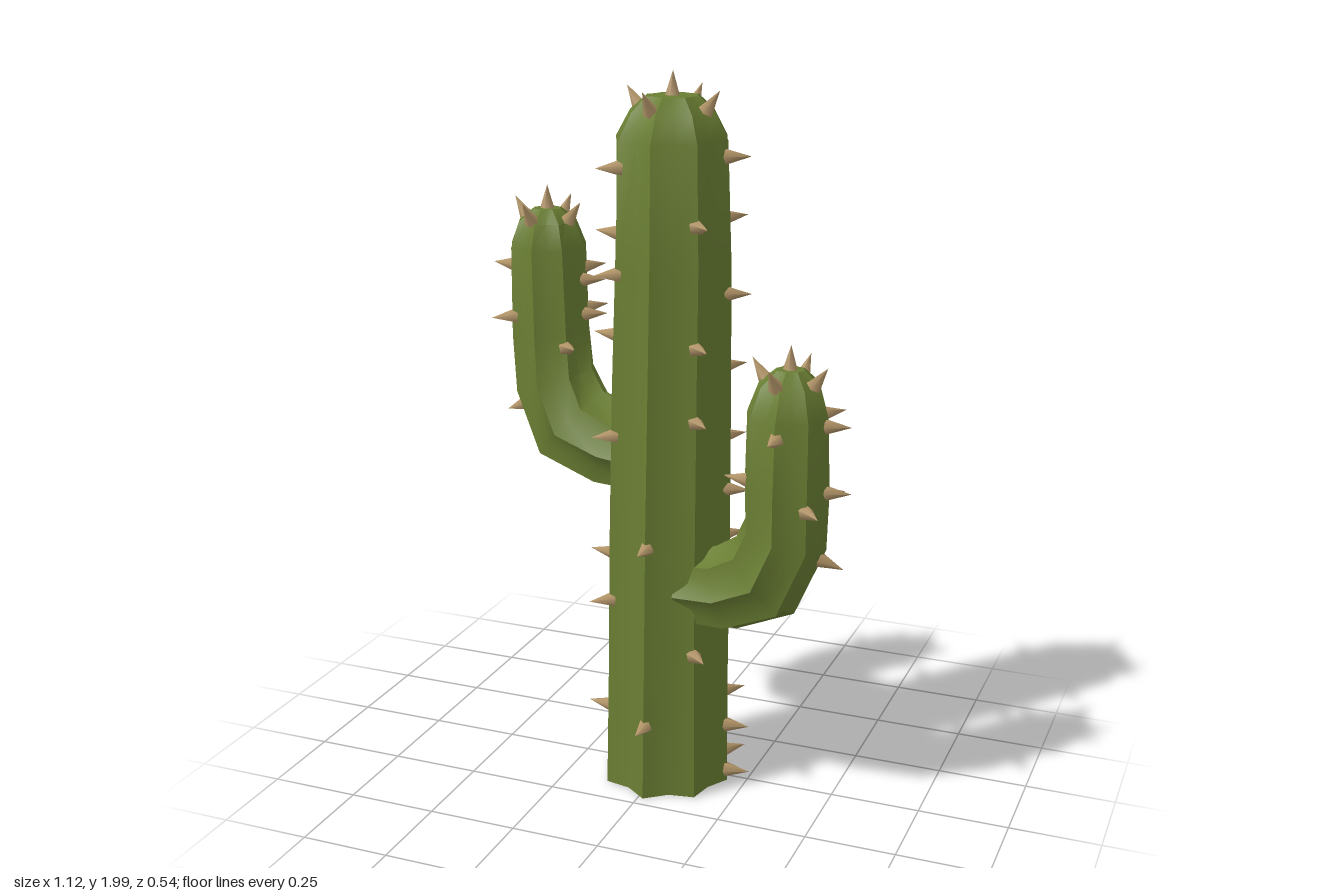
import * as THREE from 'three';
import { toCreasedNormals } from 'three/addons/utils/BufferGeometryUtils.js';

const RIBS = 8;
const VALLEY = 0.85; // groove radius relative to the ridge radius

// Small seeded random for the slightly uneven ribs
function seeded(seed) {
  return () => (seed = (seed * 16807) % 2147483647) / 2147483647;
}

// A ring is [x, y, z, radius, tilt in degrees]; returns a point on it
function ringPoint([x, y, z, r, tilt], angle, scale = 1) {
  const a = THREE.MathUtils.degToRad(tilt);
  const c = Math.cos(angle) * r * scale;
  return new THREE.Vector3(x + c * Math.cos(a), y - c * Math.sin(a), z + Math.sin(angle) * r * scale);
}

// Ribbed column lofted through rings, closed at both ends
function ribbedStem(rings, seed) {
  const rand = seeded(seed);
  const n = RIBS * 2;
  const pos = [];
  const index = [];
  for (const ring of rings) {
    for (let j = 0; j < n; j++) {
      const scale = (j % 2 ? VALLEY : 1) * (0.97 + 0.05 * rand());
      pos.push(...ringPoint(ring, (j / n) * Math.PI * 2, scale).toArray());
    }
  }
  const last = rings.length - 1;
  pos.push(...rings[0].slice(0, 3), ...rings[last].slice(0, 3));
  const bottom = n * rings.length;
  const top = bottom + 1;
  for (let j = 0; j < n; j++) {
    const k = (j + 1) % n;
    for (let i = 0; i < last; i++) {
      const a = i * n + j, b = i * n + k;
      index.push(a, a + n, b, b, a + n, b + n);
    }
    index.push(bottom, j, k, last * n + j, top, last * n + k);
  }
  const geo = new THREE.BufferGeometry();
  geo.setAttribute('position', new THREE.Float32BufferAttribute(pos, 3));
  geo.setIndex(index);
  return toCreasedNormals(geo, 0.6);
}

// Ring interpolated at a given height of the stem's centre line
function ringAt(rings, y) {
  let i = 0;
  while (i < rings.length - 2 && rings[i + 1][1] < y) i++;
  const t = THREE.MathUtils.clamp((y - rings[i][1]) / (rings[i + 1][1] - rings[i][1]), 0, 1);
  return rings[i].map((v, k) => THREE.MathUtils.lerp(v, rings[i + 1][k], t));
}

const trunkRings = [
  [0.015, 0.005, 0.028, 0.188, 0], [0.015, 0.35, 0.025, 0.182, 0],
  [0.015, 0.75, 0.015, 0.176, 0], [0.015, 1.15, 0.005, 0.170, 0],
  [0.015, 1.5, -0.005, 0.165, 0], [0.014, 1.82, -0.01, 0.158, 0],
  [0.013, 1.89, -0.012, 0.12, 0], [0.012, 1.93, -0.015, 0.075, 0],
];
const leftArmRings = [
  [0.08, 0.60, 0.05, 0.115, 80], [0.20, 0.61, 0.06, 0.122, 75],
  [0.32, 0.67, 0.08, 0.132, 50], [0.375, 0.80, 0.085, 0.12, 15],
  [0.375, 0.93, 0.085, 0.118, 0], [0.375, 1.13, 0.08, 0.112, 0],
  [0.375, 1.21, 0.075, 0.085, 0], [0.375, 1.25, 0.07, 0.04, 0],
];
const rightArmRings = [
  [-0.06, 0.93, -0.04, 0.115, -75], [-0.18, 0.945, -0.05, 0.125, -75],
  [-0.31, 0.99, -0.07, 0.135, -48], [-0.375, 1.11, -0.09, 0.122, -18],
  [-0.39, 1.25, -0.1, 0.116, -3], [-0.395, 1.49, -0.1, 0.111, 0],
  [-0.395, 1.56, -0.1, 0.085, 0], [-0.395, 1.595, -0.1, 0.04, 0],
];

// Spine heights on each rib; rib 0 faces +x, rib 2 faces +z
const trunkSpines = [
  [0.04, 0.18, 0.88, 1.42, 1.78], [0.43, 1.09, 1.29, 1.61], [0.22, 0.74],
  [0.56, 1.03, 1.47, 1.75], [0.18, 0.65, 1.28, 1.56], [0.3, 0.8, 1.2, 1.68],
  [0.25, 0.43, 0.81, 1.27, 1.6], [0.03, 0.22, 0.6, 0.7, 0.99, 1.19, 1.6],
];
const leftArmSpines = [
  [0.78, 0.93, 1.11], [0.9], [1.09], [], [0.94], [1.14], [0.82, 1.03], [0.9, 1.12],
];
const rightArmSpines = [
  [1.3, 1.4], [1.21], [], [1.3], [1.08, 1.43], [1.4], [1.2, 1.45], [1.3, 1.42],
];

export function createModel() {
  const green = new THREE.MeshStandardMaterial({ color: 0x6a7e33 });
  green.name = 'cactus green';
  const tan = new THREE.MeshStandardMaterial({ color: 0xb49669 });
  tan.name = 'spine tan';
  const up = new THREE.Vector3(0, 1, 0);
  const spineGeo = new THREE.ConeGeometry(0.022, 0.07, 5).translate(0, 0.025, 0);

  function addSpine(parent, point, dir) {
    const spine = new THREE.Mesh(spineGeo, tan);
    spine.name = 'spine';
    spine.position.copy(point);
    spine.quaternion.setFromUnitVectors(up, dir.normalize());
    parent.add(spine);
  }

  function stem(name, rings, spines, seed) {
    const group = new THREE.Group();
    group.name = name;
    const body = new THREE.Mesh(ribbedStem(rings, seed), green);
    body.name = name + 'Body';
    group.add(body);
    // Side spines along the ribs
    spines.forEach((heights, rib) => {
      for (const y of heights) {
        const ring = ringAt(rings, y);
        const p = ringPoint(ring, (rib / RIBS) * Math.PI * 2);
        const dir = p.clone().sub(new THREE.Vector3(...ring)).normalize();
        dir.y += 0.05;
        addSpine(group, p, dir);
      }
    });
    // Crown: one spine on the tip and a ring leaning outwards
    const tip = rings[rings.length - 1];
    const centre = new THREE.Vector3(...tip);
    addSpine(group, centre.clone().setY(tip[1] + 0.005), up.clone());
    const shoulder = rings[rings.length - 2];
    for (let k = 0; k < 4; k++) {
      const p = ringPoint(shoulder, (k * Math.PI) / 2 + 0.2, 0.9);
      p.y += 0.012;
      const dir = p.clone().sub(centre).setY(0).normalize().multiplyScalar(0.75).add(up);
      addSpine(group, p, dir);
    }
    return group;
  }

  const model = new THREE.Group();
  model.name = 'cactus';
  model.add(
    stem('trunk', trunkRings, trunkSpines, 11),
    stem('leftArm', leftArmRings, leftArmSpines, 23),
    stem('rightArm', rightArmRings, rightArmSpines, 37),
  );
  return model;
}
